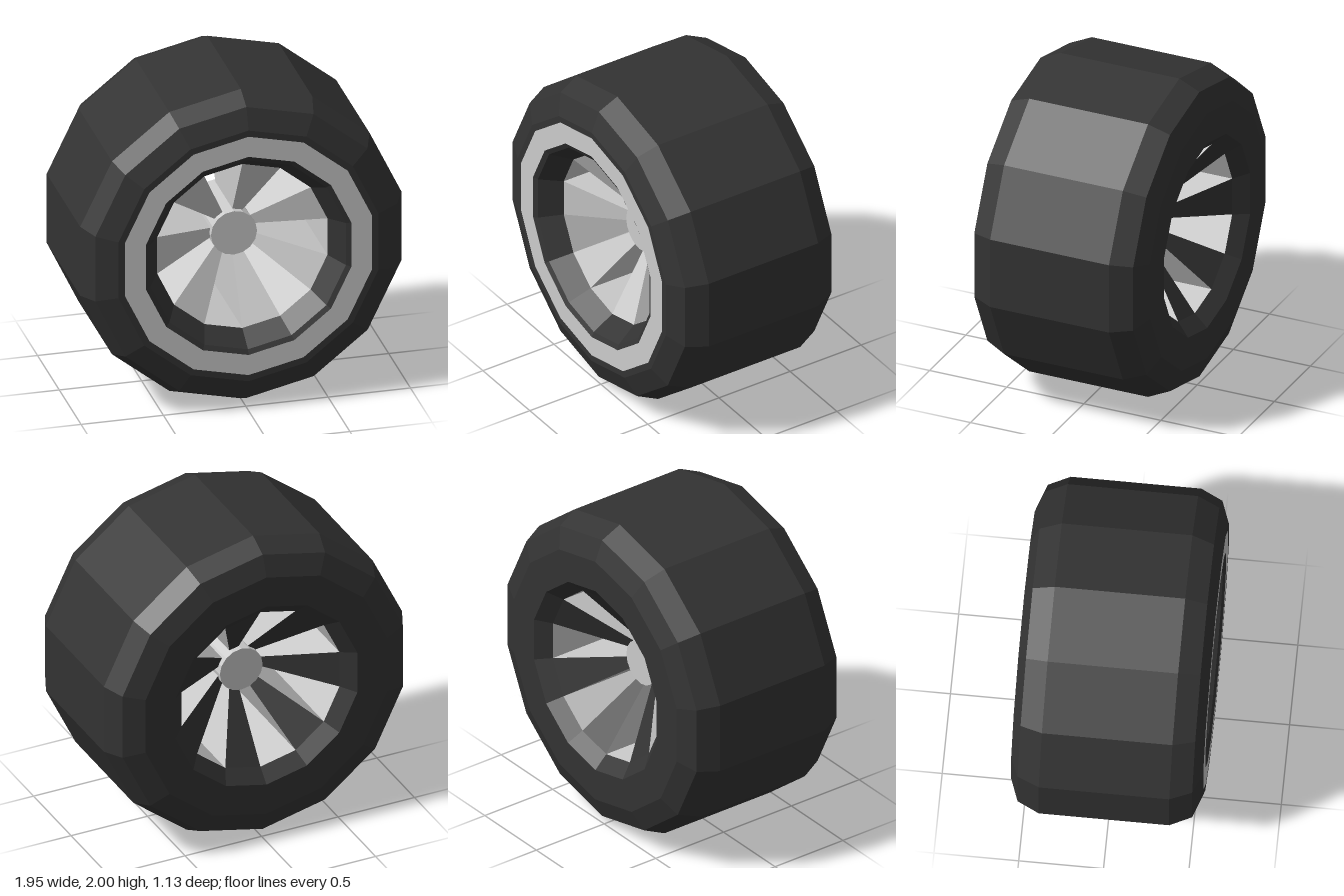
import * as THREE from 'three';

const SIDES = 14;
const STEP = (Math.PI * 2) / SIDES;

const paint = (color) => new THREE.MeshStandardMaterial({ color, flatShading: true });
const rubber = paint(0x333333);
const white = paint(0xffffff);
const metal = paint(0xcccccc);

// Ring swept around the z axis from [radius, z] pairs
function ring(name, profile, material) {
  const points = profile.map(([r, z]) => new THREE.Vector2(r, z));
  const geometry = new THREE.LatheGeometry(points, SIDES).rotateX(Math.PI / 2);
  const mesh = new THREE.Mesh(geometry, material);
  mesh.name = name;
  return mesh;
}

// Mesh from four-cornered faces, corners counter-clockwise
function quads(name, faces, material) {
  const corners = faces.flatMap(([a, b, c, d]) => [a, b, c, a, c, d]);
  const geometry = new THREE.BufferGeometry().setFromPoints(corners);
  geometry.computeVertexNormals();
  const mesh = new THREE.Mesh(geometry, material);
  mesh.name = name;
  return mesh;
}

// Wedge spoke filling one sector, dished towards the hub on both sides
function spoke(start) {
  const at = (r, angle, z) => new THREE.Vector3(r * Math.sin(angle), r * Math.cos(angle), z);
  const end = start + STEP;
  const [ri, ro] = [0.12, 0.53];
  const section = (angle) => [
    at(ri, angle, 0.18), at(ro, angle, 0.42), at(ro, angle, -0.485), at(ri, angle, -0.18),
  ];
  const [a, b, c, d] = section(start);
  const [e, f, g, h] = section(end);
  const group = new THREE.Group();
  group.name = 'spoke';
  group.add(
    quads('spokeFrontAndSides', [[a, e, f, b], [a, b, c, d], [e, h, g, f]], metal),
    quads('spokeBack', [[d, c, g, h]], rubber),
  );
  return group;
}

export function createModel() {
  const wheel = new THREE.Group();
  wheel.name = 'wheel';
  wheel.position.y = 1;

  // Tyre: back rim, back sidewall, tread and front shoulder
  wheel.add(ring('tyre', [
    [0.53, -0.485], [0.61, -0.565], [0.81, -0.565], [0.94, -0.515], [1, -0.385],
    [1, 0.385], [0.94, 0.515], [0.81, 0.565], [0.77, 0.565],
  ], rubber));
  wheel.add(ring('whitewall', [[0.77, 0.565], [0.64, 0.565]], white));
  wheel.add(ring('frontRim', [[0.64, 0.565], [0.61, 0.55], [0.53, 0.42]], rubber));
  wheel.add(ring('innerBarrel', [[0.53, 0.42], [0.53, -0.485]], metal));

  // Seven spokes, one in every second sector
  for (let i = 0; i < SIDES; i += 2) wheel.add(spoke(i * STEP));

  const hub = new THREE.Mesh(
    new THREE.CylinderGeometry(0.14, 0.14, 0.46, 16).rotateX(Math.PI / 2), metal);
  hub.name = 'hub';
  wheel.add(hub);

  const model = new THREE.Group();
  model.add(wheel);
  return model;
}
